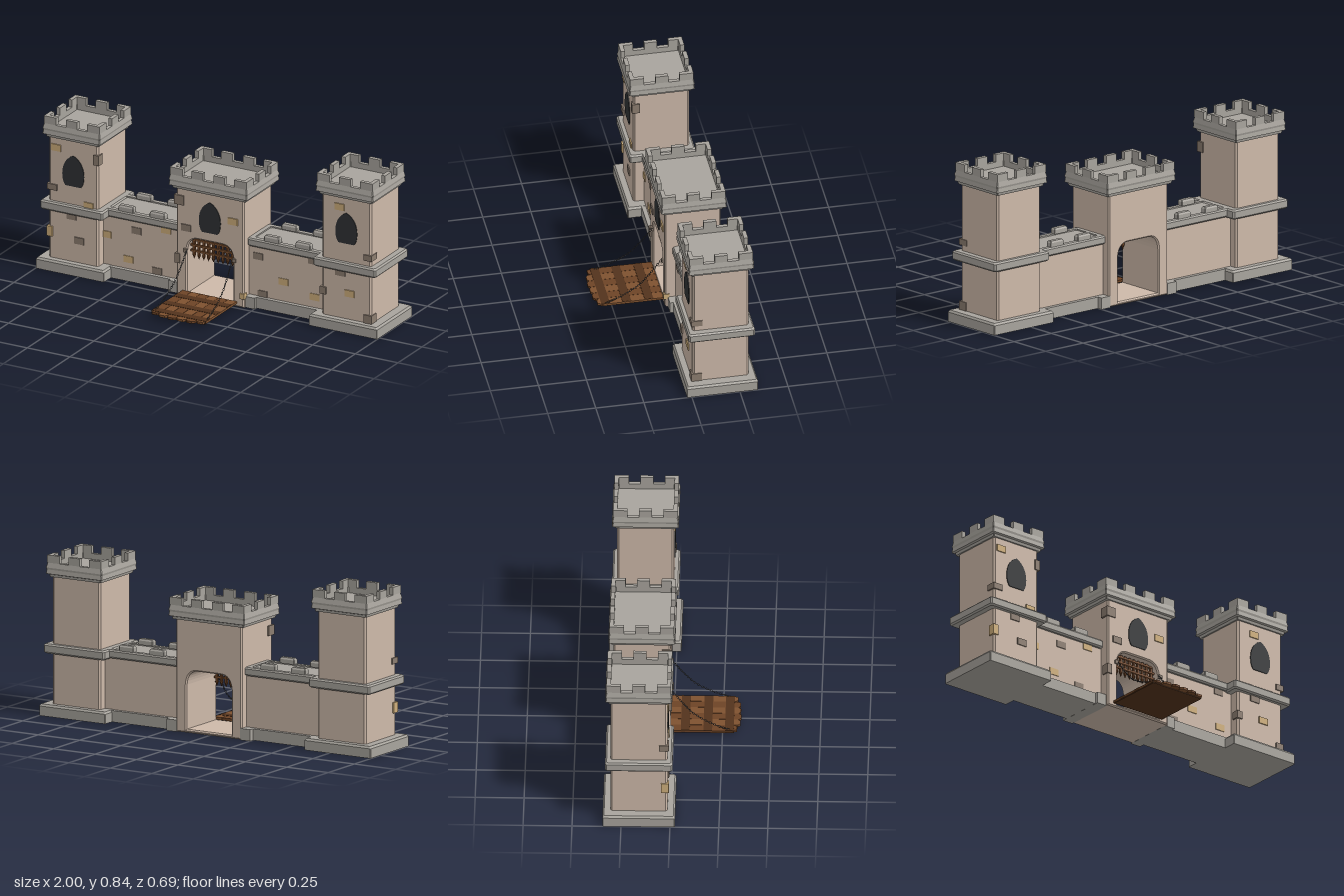
import * as THREE from 'three';

const mat = (color) => new THREE.MeshStandardMaterial({ color, flatShading: true });
const M = {
  wall: mat(0xcdb9a9), stone: mat(0xa8a49d), greyBrick: mat(0x8c7d70), tanBrick: mat(0xcfaf7c),
  dark: mat(0x303234), wood: mat(0x6e4426), wood2: mat(0x7f5230), woodDark: mat(0x53331c), iron: mat(0x4a4a4c),
};
const CZ = -0.16; // depth centre of the castle

function add(parent, name, geo, material, x = 0, y = 0, z = 0) {
  const m = new THREE.Mesh(geo, material);
  m.name = name;
  m.position.set(x, y, z);
  parent.add(m);
  return m;
}
const box = (p, name, m, x, y, z, w, h, d) => add(p, name, new THREE.BoxGeometry(w, h, d), m, x, y, z);

// Stack of chamfered rectangles; each ring is [inset, y], from the bottom up
function loft(hx, hz, rings, c = 0.008) {
  const loops = rings.map(([o, y]) => {
    const a = hx - o, b = hz - o;
    return [[a, b - c], [a, c - b], [a - c, -b], [c - a, -b], [-a, c - b], [-a, b - c], [c - a, b], [a - c, b]]
      .map(([x, z]) => [x, y, z]);
  });
  const pos = [];
  const tri = (...pts) => pts.forEach((p) => pos.push(...p));
  for (let r = 0; r + 1 < loops.length; r++) {
    const a = loops[r], b = loops[r + 1];
    for (let i = 0; i < 8; i++) {
      const j = (i + 1) % 8;
      tri(a[i], a[j], b[j]);
      tri(a[i], b[j], b[i]);
    }
  }
  const lo = loops[0], hi = loops[loops.length - 1];
  for (let i = 1; i < 7; i++) {
    tri(lo[0], lo[i + 1], lo[i]);
    tri(hi[0], hi[i], hi[i + 1]);
  }
  const g = new THREE.BufferGeometry();
  g.setAttribute('position', new THREE.Float32BufferAttribute(pos, 3));
  g.computeVertexNormals();
  return g;
}
const slab = (hx, hz, y0, y1, b = 0.008) =>
  loft(hx, hz, [[b, y0], [0, y0 + b], [0, y1 - b], [b, y1]]);

// Flared parapet with a sunken floor and merlons all round
function crown(parent, x, y, hx, hz, nx, nz) {
  const g = new THREE.Group();
  g.name = 'battlement';
  g.position.set(x, y, CZ);
  parent.add(g);
  add(g, 'parapet', loft(hx, hz, [[0.016, 0], [0.012, 0.014], [0, 0.018], [0.003, 0.04], [0, 0.05], [0.006, 0.075],
    [0.027, 0.075], [0.027, 0.045]], 0.004), M.stone);
  const t = 0.022, h = 0.041, X = hx - 0.006, Z = hz - 0.006, my = 0.075 + h / 2 - 0.001;
  for (const s of [-1, 1]) {
    for (let i = 0; i < nx; i++) {
      const w = i % (nx - 1) ? 0.066 : 0.073;
      box(g, 'merlon', M.stone, -X + w / 2 + (2 * X - w) * i / (nx - 1), my, s * (Z - t / 2), w, h, t);
    }
    for (let i = 0; i < nz; i++) {
      // end merlons stop against the corner pieces of the other sides
      const end = i === 0 ? 1 : i === nz - 1 ? -1 : 0;
      const z = end ? -end * (Z - t - 0.0255) : -Z + 0.036 + (2 * Z - 0.072) * i / (nz - 1);
      box(g, 'merlon', M.stone, s * (X - t / 2), my, z, t, h, end ? 0.051 : 0.066);
    }
  }
}

// Arched dark window
function windowPanel(parent, x, y) {
  const s = new THREE.Shape();
  s.moveTo(-0.045, 0);
  s.lineTo(0.045, 0);
  s.quadraticCurveTo(0.058, 0.015, 0.062, 0.04);
  s.bezierCurveTo(0.07, 0.1, 0.045, 0.15, 0, 0.168);
  s.bezierCurveTo(-0.045, 0.15, -0.07, 0.1, -0.062, 0.04);
  s.quadraticCurveTo(-0.058, 0.015, -0.045, 0);
  add(parent, 'window', new THREE.ExtrudeGeometry(s, { depth: 0.01, bevelEnabled: false, curveSegments: 8 }), M.dark, x, y, -0.02);
}

function tower(parent, side) {
  const g = new THREE.Group();
  g.name = side > 0 ? 'leftTower' : 'rightTower';
  parent.add(g);
  const x = side * 0.8;
  add(g, 'towerBase', loft(0.2, 0.185, [[0, 0], [0, 0.05], [0.008, 0.061]], 0.003), M.stone, x, 0, CZ);
  add(g, 'towerBody', loft(0.145, 0.146, [[0, 0.05], [0, 0.74]], 0.01), M.wall, x, 0, CZ);
  add(g, 'towerLedge', slab(0.184, 0.172, 0.325, 0.375), M.stone, x, 0, CZ);
  crown(g, x, 0.724, 0.169, 0.171, 3, 3);
  windowPanel(g, x, 0.475);
}

function curtainWall(parent, side) {
  const g = new THREE.Group();
  g.name = side > 0 ? 'leftWall' : 'rightWall';
  parent.add(g);
  const x = side * 0.425;
  box(g, 'wallBody', M.wall, x, 0.19, CZ - 0.005, 0.47, 0.3, 0.19);
  box(g, 'wallBase', M.stone, side * 0.4, 0.03, CZ - 0.005, 0.42, 0.06, 0.235);
  box(g, 'gateFooting', M.stone, side * 0.222, 0.03, CZ - 0.01, 0.06, 0.061, 0.28);
  add(g, 'wallLedge', loft(0.23, 0.114, [[0.008, 0.33], [0, 0.338], [0, 0.367], [0.006, 0.375], [0.03, 0.375], [0.03, 0.368]]),
    M.stone, x, 0, CZ - 0.006);
  for (const mx of [0.335, 0.518]) for (const s of [-1, 1]) {
    add(g, 'wallMerlon', loft(0.044, 0.017, [[0, 0], [0, 0.022], [0.006, 0.031]], 0.003), M.stone,
      side * mx, 0.374, CZ - 0.006 + s * 0.092);
  }
}

function gatehouse(parent) {
  const g = new THREE.Group();
  g.name = 'gatehouse';
  parent.add(g);
  // block with a round-shouldered passage right through
  const s = new THREE.Shape([[-0.198, 0], [0.198, 0], [0.198, 0.61], [-0.198, 0.61]].map((p) => new THREE.Vector2(...p)));
  const h = new THREE.Path();
  h.moveTo(-0.135, 0.018);
  h.lineTo(-0.135, 0.25);
  h.quadraticCurveTo(-0.13, 0.325, -0.07, 0.325);
  h.lineTo(0.07, 0.325);
  h.quadraticCurveTo(0.13, 0.325, 0.135, 0.25);
  h.lineTo(0.135, 0.018);
  s.holes.push(h);
  const b = 0.007;
  add(g, 'gateBody', new THREE.ExtrudeGeometry(s, { depth: 0.292 - 2 * b, bevelThickness: b, bevelSize: b,
    bevelOffset: -b, bevelSegments: 1, curveSegments: 8 }), M.wall, 0, 0, CZ - 0.146 + b);
  crown(g, 0, 0.588, 0.23, 0.171, 4, 3);
  windowPanel(g, 0, 0.375);

  // portcullis with pointed bars
  const p = new THREE.Group();
  p.name = 'portcullis';
  p.position.z = -0.05;
  g.add(p);
  for (let i = 0; i < 9; i++) {
    const x = -0.112 + i * 0.028;
    box(p, 'bar', M.wood, x, 0.273, 0, 0.012, 0.094, 0.012);
    const tip = add(p, 'barTip', new THREE.ConeGeometry(0.01, 0.026, 6), M.wood, x, 0.213, 0);
    tip.rotation.x = Math.PI;
  }
  for (const y of [0.247, 0.277, 0.307]) box(p, 'crossBar', M.wood2, 0, y, 0.004, y > 0.3 ? 0.235 : 0.258, 0.01, 0.012);
}

function drawbridge(parent) {
  const g = new THREE.Group();
  g.name = 'drawbridge';
  parent.add(g);
  const ends = [0.325, 0.34, 0.345, 0.342, 0.34, 0.325];
  ends.forEach((end, i) => {
    const x = -0.136 + i * 0.0535, start = -0.015;
    // planks with clipped front corners
    const w = 0.026, L = end - start;
    const s = new THREE.Shape([[-w, 0], [w, 0], [w, L - 0.012 - (i === 5 ? 0.02 : 0)], [w - 0.012, L], [0.012 - w, L],
      [-w, L - 0.012 - (i === 0 ? 0.02 : 0)]].map((q) => new THREE.Vector2(...q)));
    const m = add(g, 'plank', new THREE.ExtrudeGeometry(s, { depth: 0.012, bevelEnabled: false }),
      i % 2 ? M.wood2 : M.wood, x, 0.03, start);
    m.rotation.x = Math.PI / 2;
  });
  box(g, 'underside', M.woodDark, -0.003, 0.019, 0.15, 0.312, 0.007, 0.32);
  for (const z of [0.06, 0.175, 0.285]) box(g, 'crossPlank', M.woodDark, -0.003, 0.025, z, 0.318, 0.013, 0.045);

  // sagging chains of alternating links
  for (const s of [-1, 1]) {
    const c = new THREE.CatmullRomCurve3([[0.134, 0.255, -0.01], [0.137, 0.185, 0.045], [0.141, 0.12, 0.105],
      [0.146, 0.065, 0.195], [0.15, 0.032, 0.28]].map(([x, y, z]) => new THREE.Vector3(s * x, y, z)));
    const link = new THREE.TorusGeometry(0.0045, 0.0012, 5, 8).scale(1.7, 1, 1);
    const n = 30;
    for (let i = 0; i <= n; i++) {
      const m = add(g, 'chainLink', link, M.iron);
      m.position.copy(c.getPointAt(i / n));
      m.quaternion.setFromUnitVectors(new THREE.Vector3(1, 0, 0), c.getTangentAt(i / n));
      m.rotateX(i % 2 ? Math.PI / 2 : 0);
    }
    box(g, 'chainMount', M.greyBrick, s * 0.143, 0.253, -0.012, 0.02, 0.02, 0.012);
  }
}

// Loose bricks: x, y, width, height, 1 = tan, 0 = grey
const TOWER_BRICKS = [[-0.685, 0.67, 0], [-0.71, 0.385, 0], [-0.81, 0.31, 1], [-0.765, 0.182, 1], [0.76, 0.67, 0],
  [0.765, 0.31, 1], [0.82, 0.203, 0]];
const WALL_BRICKS = [[-0.637, 0.225, 0], [-0.46, 0.278, 1], [-0.508, 0.112, 0], [-0.288, 0.348, 0], [-0.342, 0.08, 1],
  [0.251, 0.278, 1], [0.278, 0.075, 1], [0.4, 0.166, 0], [0.572, 0.364, 1], [0.583, 0.118, 0]];
// Corner bricks: x, y, width, height, depth, 1 = grey
const QUOINS = [[-0.923, 0.45, 0.058, 0.032, 0.05, 1], [-0.664, 0.645, 0.032, 0.055, 0.04, 1],
  [-0.937, 0.205, 0.032, 0.055, 0.04, 0], [0.927, 0.42, 0.045, 0.032, 0.058, 1], [0.664, 0.193, 0.035, 0.04, 0.04, 1],
  [0.927, 0.083, 0.045, 0.046, 0.054, 1], [-0.18, 0.525, 0.055, 0.052, 0.05, 1], [-0.19, 0.203, 0.03, 0.052, 0.04, 1],
  [0.19, 0.065, 0.025, 0.03, 0.03, 0]];

function bricks(parent) {
  const g = new THREE.Group();
  g.name = 'bricks';
  parent.add(g);
  const brick = (x, y, z, grey) => box(g, 'brick', grey ? M.greyBrick : M.tanBrick, x, y, z, 0.056, 0.036, 0.02);
  TOWER_BRICKS.forEach(([x, y, k]) => brick(x < -0.68 && x > -0.69 ? -0.93 + 0.03 : x, y, -0.018, k));
  WALL_BRICKS.forEach(([x, y, k]) => brick(x, Math.min(y, 0.315), -0.076, k));
  brick(-0.138, 0.378, -0.018, 1);
  brick(0.135, 0.465, -0.018, 0);
  QUOINS.forEach(([x, y, w, h, d, k]) => box(g, 'cornerBrick', k ? M.greyBrick : M.tanBrick, x, y, -0.007 - d / 2, w, h, d));
}

export function createModel() {
  const root = new THREE.Group();
  root.name = 'castle';
  for (const side of [-1, 1]) {
    tower(root, side);
    curtainWall(root, side);
  }
  gatehouse(root);
  drawbridge(root);
  bricks(root);
  return root;
}
